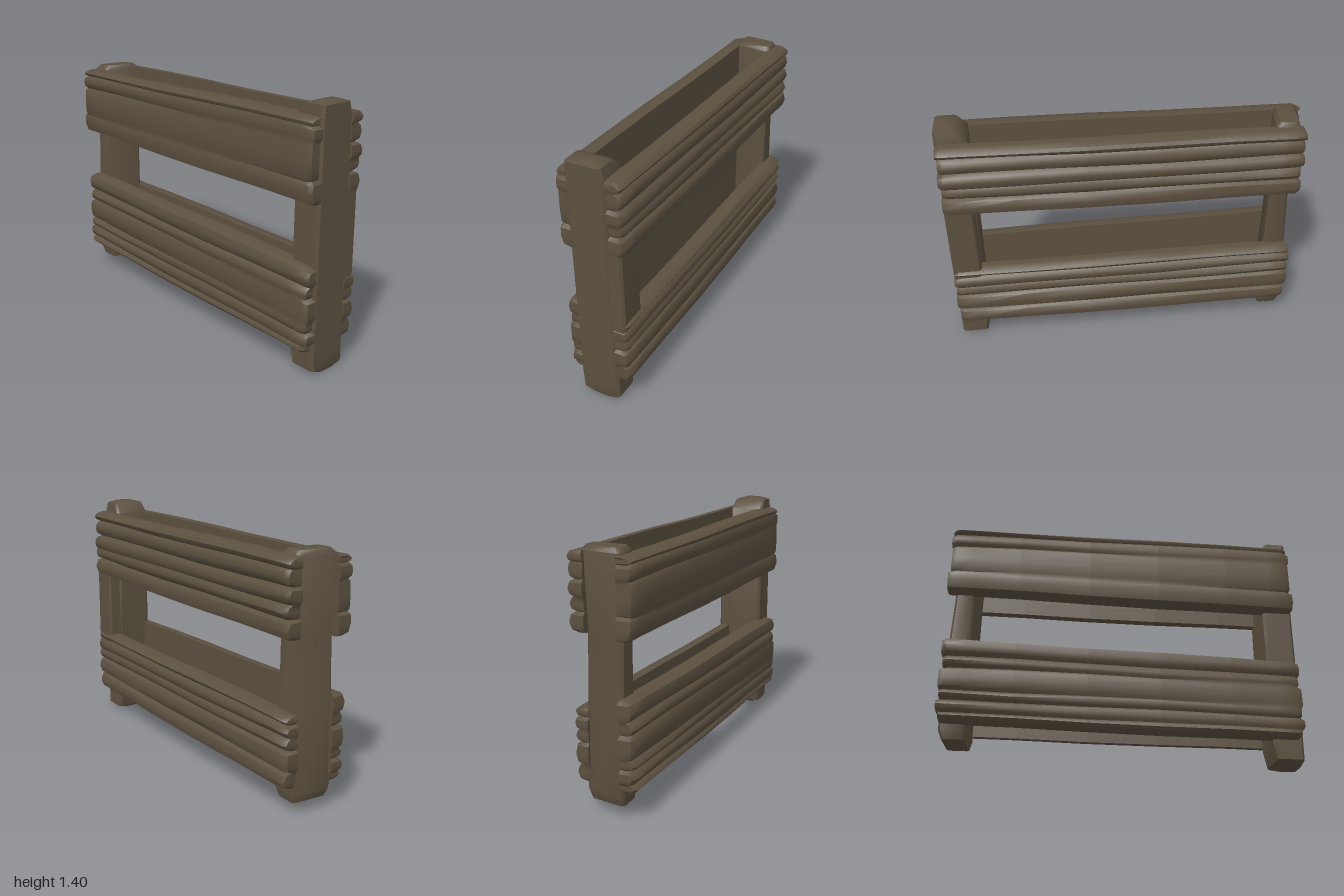
import * as THREE from 'three';
import { toCreasedNormals } from 'three/addons/utils/BufferGeometryUtils.js';

const wood = new THREE.MeshStandardMaterial({ color: 0x5c5140 });
wood.name = 'weatheredWood';

function finish(name, points, index) {
  const geo = new THREE.BufferGeometry();
  geo.setAttribute('position', new THREE.Float32BufferAttribute(points, 3));
  geo.setIndex(index);
  const mesh = new THREE.Mesh(toCreasedNormals(geo, 0.75), wood);
  mesh.name = name;
  return mesh;
}

// Plank facing +z. Each end: { x, bottom, top, inner, outer }.
// grooves: [height 0..1, depth at start, depth at finish], from bottom to top.
function plank(name, start, end, grooves, jag) {
  const stations = [0, 0.012, 0.06, 0.2, 0.4, 0.6, 0.8, 0.94, 0.988, 1];
  const lerp = THREE.MathUtils.lerp;
  // Face profile: edge, rounded ridges parted by grooves, edge
  const rows = [];
  const marks = [[0, 0.05, 0.05], ...grooves, [1, 0.05, 0.05]];
  for (let m = 0; m < marks.length - 1; m++) {
    const [a, al, ar] = marks[m], [b, bl, br] = marks[m + 1], h = b - a;
    const j = jag[m % jag.length];
    const edge = Math.min(0.035, h * 0.2);
    rows.push({ v: a, l: al, r: ar, jag: j + 0.008 });
    rows.push({ v: a + edge, l: al * 0.3, r: ar * 0.3, jag: j });
    rows.push({ v: a + h * 0.5, l: 0, r: 0, jag: j });
    rows.push({ v: b - edge, l: bl * 0.3, r: br * 0.3, jag: j });
  }
  rows.push({ v: 1, l: 0.05, r: 0.05, jag: jag[0] + 0.005 });
  const n = rows.length, ring = 2 * n, points = [], index = [];
  stations.forEach((u, s) => {
    const tip = s === 0 || s === stations.length - 1;
    const bottom = lerp(start.bottom, end.bottom, u), top = lerp(start.top, end.top, u);
    const inner = lerp(start.inner, end.inner, u), outer = lerp(start.outer, end.outer, u);
    const place = (row, z) => {
      const pull = row.jag * (u < 0.1 ? 1 : u > 0.9 ? -1 : 0);
      const v = tip ? lerp(row.v, 0.5, 0.025) : row.v;
      const wave = 0.003 * Math.sin(u * 9 + row.v * 8);
      points.push(lerp(start.x, end.x, u) + pull, lerp(bottom, top, v) + wave, z);
    };
    rows.forEach((row) => {
      const rim = row.v === 0 || row.v === 1;
      const worn = rim ? 1 : 0.55 + 0.45 * Math.abs(2 * u - 1);
      const depth = lerp(row.l, row.r, u) * worn + (tip ? 0.012 : 0);
      place(row, Math.max(inner + 0.015, outer - depth));
    });
    for (let j = n - 1; j >= 0; j--) place(rows[j], inner);
  });
  const last = stations.length - 1;
  for (let s = 0; s < last; s++) {
    for (let k = 0; k < ring; k++) {
      const a = s * ring + k, b = s * ring + (k + 1) % ring;
      index.push(a, a + ring, b + ring, a, b + ring, b);
    }
  }
  // End grain
  for (let j = 0; j < n - 1; j++) {
    const f = j, g = j + 1, b = ring - 1 - j, c = b - 1, o = last * ring;
    index.push(b, f, g, b, g, c);
    index.push(o + b, o + g, o + f, o + b, o + c, o + g);
  }
  return finish(name, points, index);
}

// Chamfered upright; each section: [y, x0, x1, z0, z1, skew in x from back to front]
function post(name, sections, chamfer) {
  const points = [], index = [];
  for (const [y, x0, x1, z0, z1, skew = 0] of sections) {
    const c = chamfer;
    const ring = [
      [x1, z1 - c], [x1, z0 + c], [x1 - c, z0], [x0 + c, z0],
      [x0, z0 + c], [x0, z1 - c], [x0 + c, z1], [x1 - c, z1],
    ];
    for (const [x, z] of ring) points.push(x + skew * z, y, z);
  }
  const last = (sections.length - 1) * 8;
  for (let r = 0; r < last; r += 8) {
    for (let k = 0; k < 8; k++) {
      const a = r + k, b = r + (k + 1) % 8;
      index.push(a, b, b + 8, a, b + 8, a + 8);
    }
  }
  for (let k = 1; k < 7; k++) {
    index.push(0, k + 1, k);
    index.push(last, last + k, last + k + 1);
  }
  return finish(name, points, index);
}

export function createModel() {
  const fence = new THREE.Group();
  fence.name = 'fenceSection';

  // Uprights
  fence.add(post('leftPost', [
    [0.0, 0.88, 0.98, -0.04, 0.07],
    [0.025, 0.84, 0.99, -0.1, 0.12],
    [0.12, 0.82, 0.99, -0.1, 0.125],
    [0.7, 0.82, 0.99, -0.09, 0.125],
    [1.33, 0.82, 0.99, -0.085, 0.125],
    [1.385, 0.87, 0.99, -0.07, 0.12],
    [1.4, 0.91, 0.96, -0.02, 0.07],
  ], 0.014));
  fence.add(post('rightPost', [
    [0.07, -0.95, -0.83, -0.1, 0.1, -0.1],
    [0.12, -0.965, -0.825, -0.115, 0.11, -0.15],
    [0.6, -0.95, -0.83, -0.11, 0.11, -0.18],
    [0.92, -0.935, -0.83, -0.11, 0.11, -0.18],
    [1.32, -0.95, -0.82, -0.115, 0.11, -0.15],
    [1.345, -0.935, -0.835, -0.1, 0.09, -0.1],
  ], 0.014));
  // Packing piece between the back boards
  fence.add(post('spacer', [
    [0.48, 0.83, 0.985, -0.155, -0.07],
    [0.55, 0.825, 0.985, -0.158, -0.07],
    [0.95, 0.83, 0.985, -0.155, -0.07],
  ], 0.012));

  // Front boards
  fence.add(plank('frontUpperBoard',
    { x: -1, bottom: 0.915, top: 1.31, inner: 0.1, outer: 0.19 },
    { x: 0.99, bottom: 0.905, top: 1.335, inner: 0.09, outer: 0.185 },
    [[0.29, 0.008, 0.012], [0.72, 0.022, 0.004], [0.91, 0.025, 0.006]],
    [0, 0.012, 0.004, 0.016]));
  fence.add(plank('frontLowerBoard',
    { x: -1, bottom: 0.15, top: 0.63, inner: 0.095, outer: 0.18 },
    { x: 0.99, bottom: 0.13, top: 0.595, inner: 0.09, outer: 0.182 },
    [[0.1, 0.03, 0.008], [0.25, 0.035, 0.012], [0.37, 0.03, 0.002], [0.64, 0.03, 0.004], [0.78, 0.035, 0.022]],
    [0.018, 0, 0.012, 0.002, 0.016, 0.004]));

  // Back boards, modelled facing forward and turned around
  const back = new THREE.Group();
  back.name = 'backBoards';
  back.rotation.y = Math.PI;
  back.add(plank('backUpperBoard',
    { x: -0.99, bottom: 0.92, top: 1.33, inner: 0.09, outer: 0.175 },
    { x: 0.96, bottom: 0.92, top: 1.325, inner: 0.1, outer: 0.19 },
    [[0.26, 0.045, 0.035], [0.44, 0.012, 0.03], [0.64, 0.045, 0.035], [0.86, 0.035, 0.02]],
    [0.004, 0.014, 0, 0.01]));
  back.add(plank('backLowerBoard',
    { x: -0.99, bottom: 0.145, top: 0.54, inner: 0.09, outer: 0.172 },
    { x: 0.96, bottom: 0.15, top: 0.55, inner: 0.095, outer: 0.178 },
    [[0.25, 0.045, 0.04], [0.53, 0.045, 0.035], [0.7, 0.012, 0.03], [0.88, 0.03, 0.035]],
    [0.012, 0, 0.008, 0.002]));
  fence.add(back);
  return fence;
}
